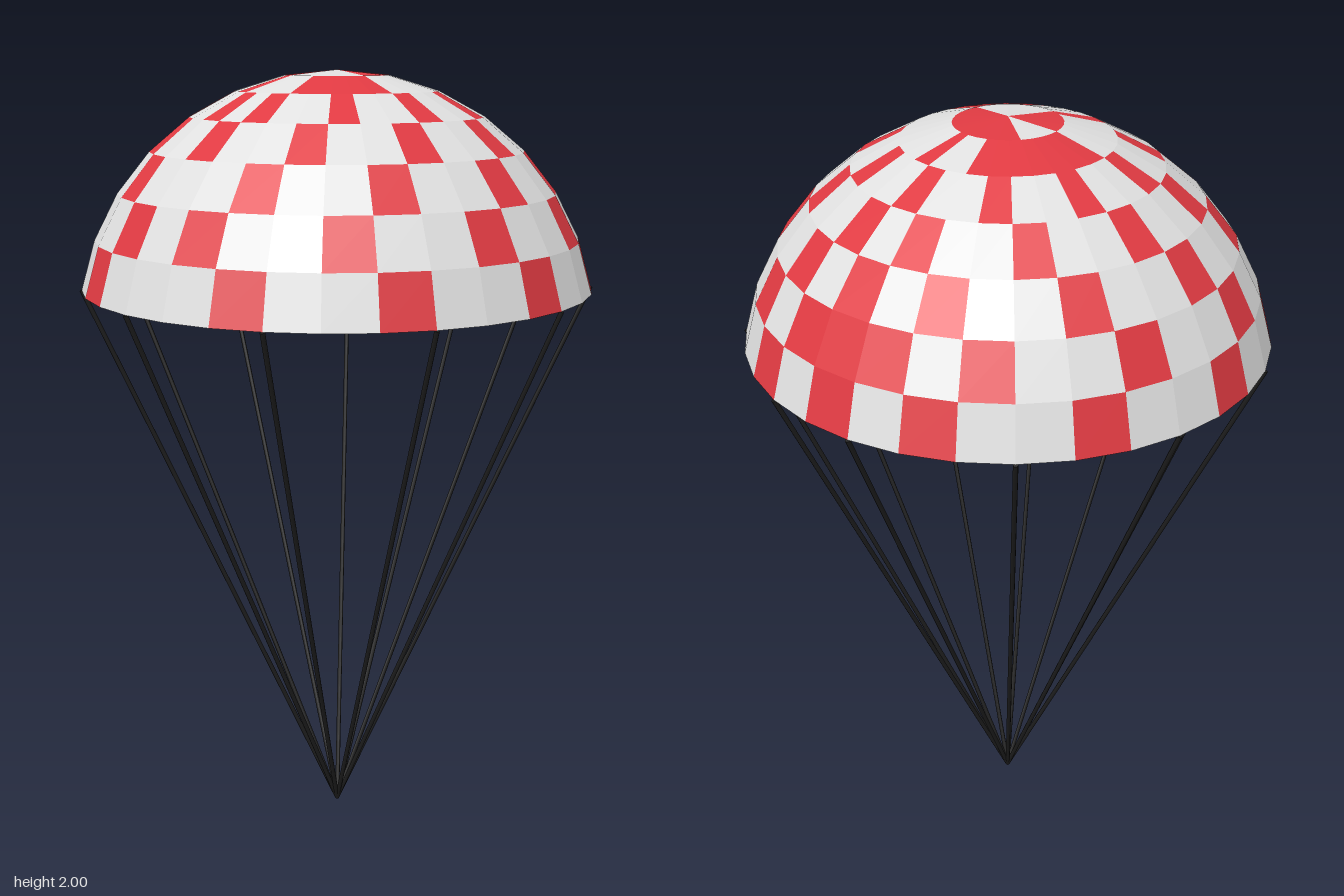
import * as THREE from 'three';

const SEG = 32, RINGS = 7, R = 0.6526, STEP = Math.PI / 16;

// Point on the dome: ring j counted from the crown, column i clockwise from the back
function domePoint(i, j) {
  const a = i * STEP, p = j * STEP;
  return new THREE.Vector3(
    R * Math.sin(p) * Math.sin(a),
    2 - R + R * Math.cos(p),
    -R * Math.sin(p) * Math.cos(a));
}

const inRanges = (i, ranges) => ranges.some(([a, b]) => i >= a && i <= b);

// Checker: every third panel counted outward from one panel near the back rim
function isRed(i, j) {
  if (j === 1) return inRanges(i, [[0, 9], [18, 23], [28, 31]]);
  if (j === 2) return inRanges(i, [[1, 1], [10, 14], [18, 18], [24, 30]]);
  const d = Math.min(i, SEG - i) + Math.abs(j - 6);
  return d <= 1 || d % 3 === 0;
}

// All panels of one colour as a single faceted surface
function panels(wantRed) {
  const pos = [];
  const tri = (...pts) => pts.forEach(p => pos.push(p.x, p.y, p.z));
  for (let j = 1; j <= RINGS; j++) {
    for (let i = 0; i < SEG; i++) {
      if (isRed(i, j) !== wantRed) continue;
      const a = domePoint(i, j - 1), b = domePoint(i + 1, j - 1);
      const c = domePoint(i + 1, j), d = domePoint(i, j);
      tri(a, c, d);
      if (j > 1) tri(a, b, c);
    }
  }
  const g = new THREE.BufferGeometry();
  g.setAttribute('position', new THREE.Float32BufferAttribute(pos, 3));
  g.computeVertexNormals();
  return g;
}

// Thin cylinder between two points
function rod(from, to, radius) {
  const dir = to.clone().sub(from);
  const g = new THREE.CylinderGeometry(radius, radius, dir.length(), 8);
  g.applyQuaternion(new THREE.Quaternion().setFromUnitVectors(
    new THREE.Vector3(0, 1, 0), dir.normalize()));
  const mid = from.clone().add(to).multiplyScalar(0.5);
  return g.translate(mid.x, mid.y, mid.z);
}

export function createModel() {
  const red = new THREE.MeshStandardMaterial({ color: 0xe03a42, side: THREE.DoubleSide, flatShading: true });
  red.name = 'red cloth';
  const white = new THREE.MeshStandardMaterial({ color: 0xe0e0e0, side: THREE.DoubleSide, flatShading: true });
  white.name = 'white cloth';
  const black = new THREE.MeshStandardMaterial({ color: 0x1c1c1c });
  black.name = 'black cord';

  const model = new THREE.Group();
  model.name = 'parachute';

  // Canopy
  const canopy = new THREE.Group();
  canopy.name = 'canopy';
  const redPanels = new THREE.Mesh(panels(true), red);
  redPanels.name = 'redPanels';
  const whitePanels = new THREE.Mesh(panels(false), white);
  whitePanels.name = 'whitePanels';
  canopy.add(redPanels, whitePanels);
  model.add(canopy);

  // Cords from the rim down to one point
  const cords = new THREE.Group();
  cords.name = 'cords';
  const foot = new THREE.Vector3(0, 0.004, 0);
  for (const i of [0, 2, 5, 8, 11, 14, 17, 20, 23, 26, 29]) {
    const cord = new THREE.Mesh(rod(foot, domePoint(i, RINGS), 0.006), black);
    cord.name = 'cord';
    cords.add(cord);
  }
  model.add(cords);
  return model;
}
